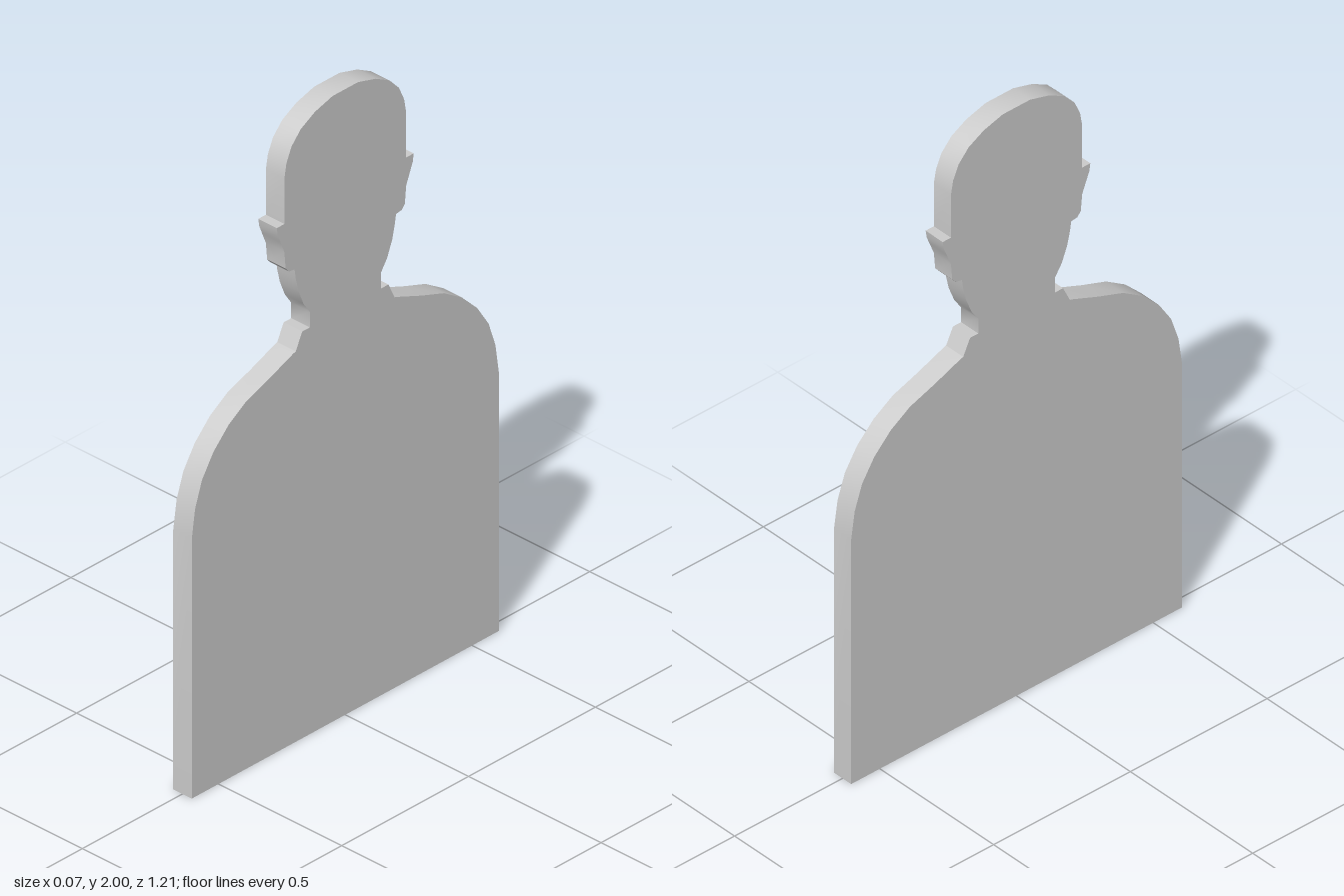
import * as THREE from 'three';
import { toCreasedNormals } from 'three/addons/utils/BufferGeometryUtils.js';

const THICKNESS = 0.07;

// Half outline as [half width, height], from the base up to the crown
const torso = [
  [0.605, 0], [0.605, 0.83], [0.592, 0.92], [0.565, 1.0], [0.52, 1.07],
  [0.46, 1.13], [0.39, 1.175], [0.3, 1.207], [0.205, 1.245],
];
const neck = [[0.195, 1.248], [0.17, 1.3], [0.14, 1.3], [0.14, 1.35]];
const jaw = [[0.165, 1.387], [0.185, 1.437], [0.195, 1.48], [0.2, 1.512]];
const ear = [
  [0.222, 1.515], [0.235, 1.53], [0.24, 1.585], [0.256, 1.625],
  [0.266, 1.65], [0.27, 1.675], [0.24, 1.675],
];
const skull = [
  [0.24, 1.82], [0.232, 1.865], [0.212, 1.91], [0.175, 1.95],
  [0.12, 1.98], [0.05, 2.0],
];

export function createModel() {
  const group = new THREE.Group();
  group.name = 'bustCutout';

  // Mirror the half outline into a closed silhouette
  const half = [...torso, ...neck, ...jaw, ...ear, ...skull];
  const mirrored = half.map(([w, y]) => [-w, y]).reverse();
  const shape = new THREE.Shape([...half, ...mirrored].map(([w, y]) => new THREE.Vector2(w, y)));

  // Flat plate, turned so that its faces point along x
  const plate = new THREE.ExtrudeGeometry(shape, { depth: THICKNESS, bevelEnabled: false });
  plate.translate(0, 0, -THICKNESS / 2);
  plate.rotateY(Math.PI / 2);

  const silhouette = new THREE.Mesh(
    toCreasedNormals(plate, THREE.MathUtils.degToRad(35)),
    new THREE.MeshStandardMaterial({ color: 0xcccccc }),
  );
  silhouette.name = 'headAndShouldersPlate';
  group.add(silhouette);
  return group;
}
